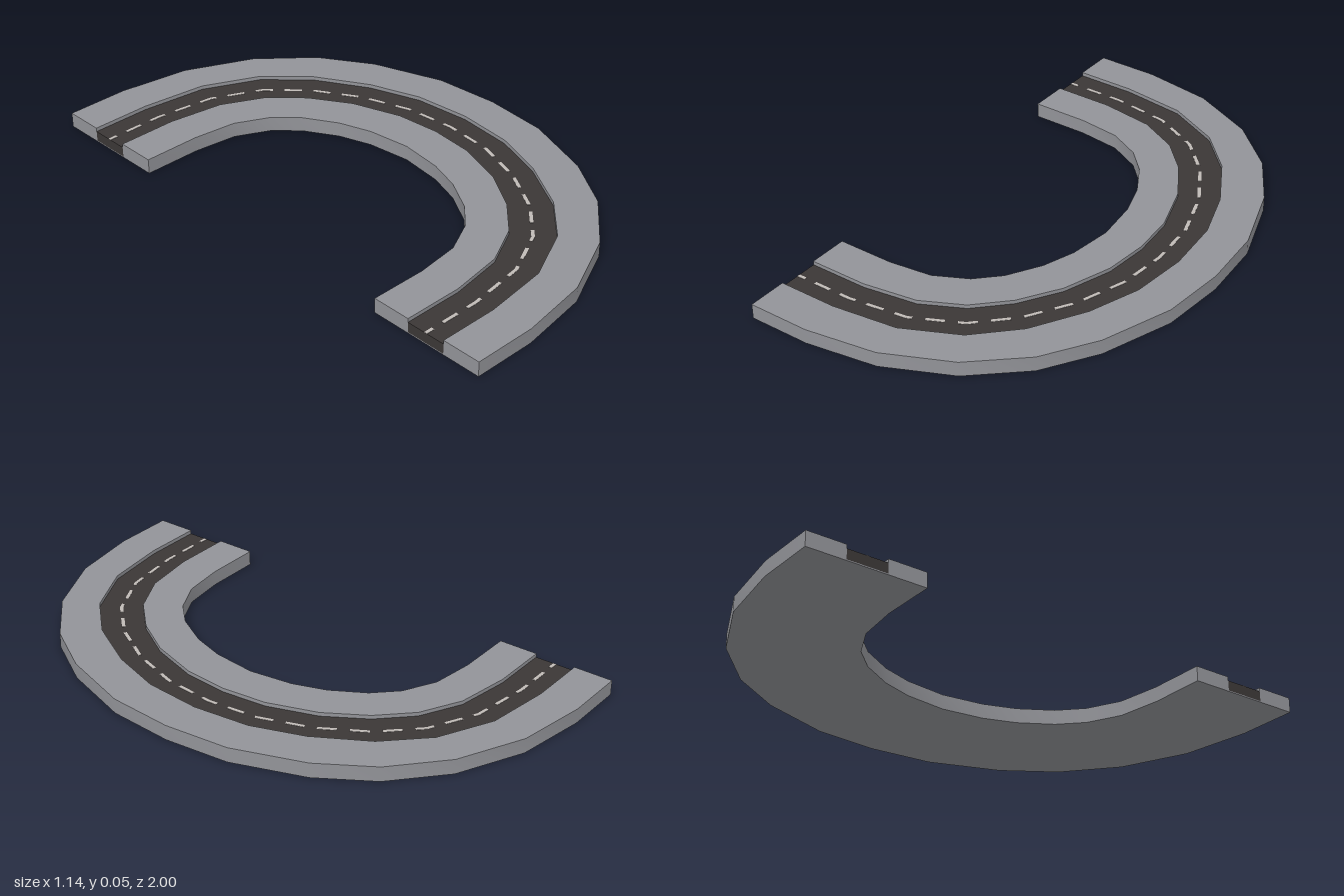
import * as THREE from 'three';
import { toCreasedNormals } from 'three/addons/utils/BufferGeometryUtils.js';

const TOP = 0.055, ROAD_TOP = 0.041, BASE = 0.004;

// Half of each outline as [x, z], from the back end to the middle of the bend
const half = {
  outer: [[-0.57, -1], [-0.34, -1], [-0.08, -0.96], [0.16, -0.85], [0.34, -0.69], [0.46, -0.5], [0.55, -0.24], [0.57, 0]],
  roadOuter: [[-0.57, -0.855], [-0.35, -0.855], [-0.11, -0.825], [0.09, -0.73], [0.23, -0.59], [0.34, -0.4], [0.405, -0.21], [0.425, 0]],
  roadInner: [[-0.57, -0.705], [-0.35, -0.705], [-0.15, -0.675], [0, -0.6], [0.11, -0.49], [0.2, -0.345], [0.26, -0.165], [0.275, 0]],
  inner: [[-0.57, -0.56], [-0.36, -0.56], [-0.2, -0.54], [-0.08, -0.48], [0, -0.4], [0.07, -0.28], [0.11, -0.16], [0.13, 0]],
};

// Mirrors a half outline in z to get the full bend
function full(points) {
  const mirrored = points.slice(0, -1).reverse().map(([x, z]) => [x, -z]);
  return [...points, ...mirrored];
}

// Closed strip with a rectangular section between an outer and an inner edge
function strip(outer, inner, y0, y1) {
  const position = [], index = [];
  outer.forEach(([ox, oz], i) => {
    const [ix, iz] = inner[i];
    position.push(ox, y1, oz, ix, y1, iz, ix, y0, iz, ox, y0, oz);
  });
  const quad = (a, b, c, d) => index.push(a, b, c, a, c, d);
  for (let i = 0; i < outer.length - 1; i++) {
    for (let j = 0; j < 4; j++) {
      const a = i * 4 + j, b = i * 4 + (j + 1) % 4;
      quad(a, b, b + 4, a + 4);
    }
  }
  const e = (outer.length - 1) * 4;
  quad(3, 2, 1, 0);
  quad(e, e + 1, e + 2, e + 3);
  const geometry = new THREE.BufferGeometry();
  geometry.setAttribute('position', new THREE.Float32BufferAttribute(position, 3));
  geometry.setIndex(index);
  return toCreasedNormals(geometry, 0.6);
}

export function createModel() {
  const group = new THREE.Group();
  group.name = 'curvedRoad';
  const concrete = new THREE.MeshStandardMaterial({ color: 0x929398 });
  const asphalt = new THREE.MeshStandardMaterial({ color: 0x3b3736 });
  const paint = new THREE.MeshStandardMaterial({ color: 0xc0bab6 });

  const add = (name, geometry, material, parent = group) => {
    const mesh = new THREE.Mesh(geometry, material);
    mesh.name = name;
    parent.add(mesh);
  };

  const outer = full(half.outer), roadOuter = full(half.roadOuter);
  const roadInner = full(half.roadInner), inner = full(half.inner);

  // Raised pavements with the sunken road between them
  add('outerPavement', strip(outer, roadOuter, 0, TOP), concrete);
  add('innerPavement', strip(roadInner, inner, 0, TOP), concrete);
  add('roadBase', strip(roadOuter, roadInner, 0, BASE), concrete);
  add('roadSurface', strip(roadOuter, roadInner, BASE, ROAD_TOP), asphalt);

  // Centre line: position and sideways direction at each station
  const stations = roadOuter.map(([ox, oz], i) => {
    const o = new THREE.Vector2(ox, oz), n = new THREE.Vector2(...roadInner[i]);
    return { p: o.clone().add(n).multiplyScalar(0.5), side: o.clone().sub(n).normalize(), s: 0 };
  });
  for (let i = 1; i < stations.length; i++) {
    stations[i].s = stations[i - 1].s + stations[i].p.distanceTo(stations[i - 1].p);
  }
  const length = stations.at(-1).s;
  const at = (s) => {
    const i = Math.max(1, stations.findIndex((k) => k.s >= s - 1e-6));
    const a = stations[i - 1], b = stations[i], t = (s - a.s) / (b.s - a.s);
    return { p: a.p.clone().lerp(b.p, t), side: a.side.clone().lerp(b.side, t).normalize() };
  };

  // Painted dashes, bending with the centre line; the end ones are cut short
  const dashes = new THREE.Group();
  dashes.name = 'centreDashes';
  group.add(dashes);
  const count = 26, pitch = length / count, dash = pitch * 0.6, halfWidth = 0.006;
  for (let k = 0; k <= count; k++) {
    const s0 = Math.max(0, k * pitch - dash / 2), s1 = Math.min(length, k * pitch + dash / 2);
    const run = [at(s0), ...stations.filter((q) => q.s > s0 + 1e-4 && q.s < s1 - 1e-4), at(s1)];
    const edge = (w) => run.map(({ p, side }) => p.clone().addScaledVector(side, w).toArray());
    add('dash', strip(edge(halfWidth), edge(-halfWidth), ROAD_TOP - 0.001, ROAD_TOP + 0.001), paint, dashes);
  }
  return group;
}
